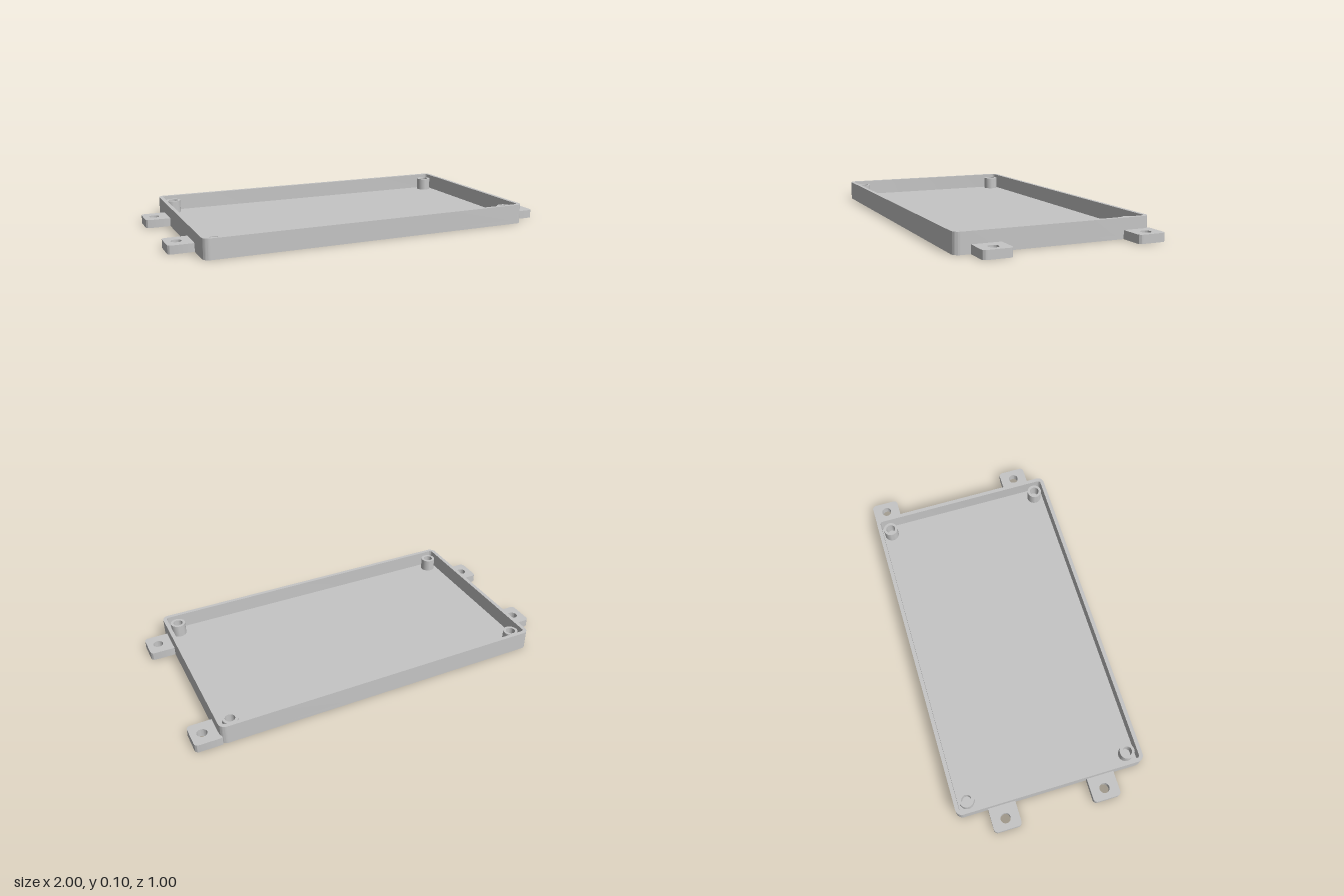
import * as THREE from 'three';
import { toCreasedNormals } from 'three/addons/utils/BufferGeometryUtils.js';

const CURVE_SEGMENTS = 16;

// Rounded rectangle in plan; the left and right corner radii can differ.
function roundedRect(path, x0, x1, y0, y1, rLeft, rRight = rLeft) {
  path.moveTo(x0 + rLeft, y0);
  path.lineTo(x1 - rRight, y0);
  if (rRight) path.absarc(x1 - rRight, y0 + rRight, rRight, -Math.PI / 2, 0);
  path.lineTo(x1, y1 - rRight);
  if (rRight) path.absarc(x1 - rRight, y1 - rRight, rRight, 0, Math.PI / 2);
  path.lineTo(x0 + rLeft, y1);
  if (rLeft) path.absarc(x0 + rLeft, y1 - rLeft, rLeft, Math.PI / 2, Math.PI);
  path.lineTo(x0, y0 + rLeft);
  if (rLeft) path.absarc(x0 + rLeft, y0 + rLeft, rLeft, Math.PI, Math.PI * 1.5);
  return path;
}

function circle(path, x, y, r) {
  path.absarc(x, y, r, 0, Math.PI * 2);
  return path;
}

// Raises a plan shape (x, -z) from yBottom to yTop.
function raise(shape, yBottom, yTop) {
  const geometry = new THREE.ExtrudeGeometry(shape, {
    depth: yTop - yBottom, bevelEnabled: false, curveSegments: CURVE_SEGMENTS,
  });
  geometry.rotateX(-Math.PI / 2);
  geometry.translate(0, yBottom, 0);
  return toCreasedNormals(geometry, Math.PI / 6);
}

export function createModel() {
  const model = new THREE.Group();
  model.name = 'enclosureTray';
  const grey = new THREE.MeshStandardMaterial({ color: 0xc6c6c6 });
  grey.name = 'lightGrey';

  const add = (name, geometry, x = 0, z = 0) => {
    const mesh = new THREE.Mesh(geometry, grey);
    mesh.name = name;
    mesh.position.set(x, 0, z);
    model.add(mesh);
  };

  const halfX = 0.873, halfZ = 0.501, wall = 0.02, floorTop = 0.02;

  // Floor plate
  add('floor', raise(roundedRect(new THREE.Shape(), -halfX, halfX, -halfZ, halfZ, 0.035), 0, floorTop));

  // Surrounding wall
  const ring = roundedRect(new THREE.Shape(), -halfX, halfX, -halfZ, halfZ, 0.035);
  ring.holes.push(roundedRect(new THREE.Path(),
    -halfX + wall, halfX - wall, -halfZ + wall, halfZ - wall, 0.015));
  add('wall', raise(ring, floorTop, 0.102));

  // Hollow screw posts in the four corners
  const post = circle(new THREE.Shape(), 0, 0, 0.039);
  post.holes.push(circle(new THREE.Path(), 0, 0, 0.025));
  const postGeometry = raise(post, floorTop, 0.086);
  for (const x of [-0.803, 0.803]) {
    for (const z of [-0.433, 0.433]) add('screwPost', postGeometry, x, z);
  }

  // Mounting ears with through holes, staggered between the two sides
  const ears = [[-1, -0.267], [-1, 0.265], [1, -0.428], [1, 0.348]];
  for (const [side, z] of ears) {
    const ear = side > 0
      ? roundedRect(new THREE.Shape(), 0.866, 1, -0.073, 0.073, 0, 0.02)
      : roundedRect(new THREE.Shape(), -1, -0.866, -0.073, 0.073, 0.02, 0);
    ear.holes.push(circle(new THREE.Path(), side * 0.943, 0, 0.026));
    add(side > 0 ? 'leftMountingEar' : 'rightMountingEar', raise(ear, 0, 0.043), 0, z);
  }

  return model;
}
